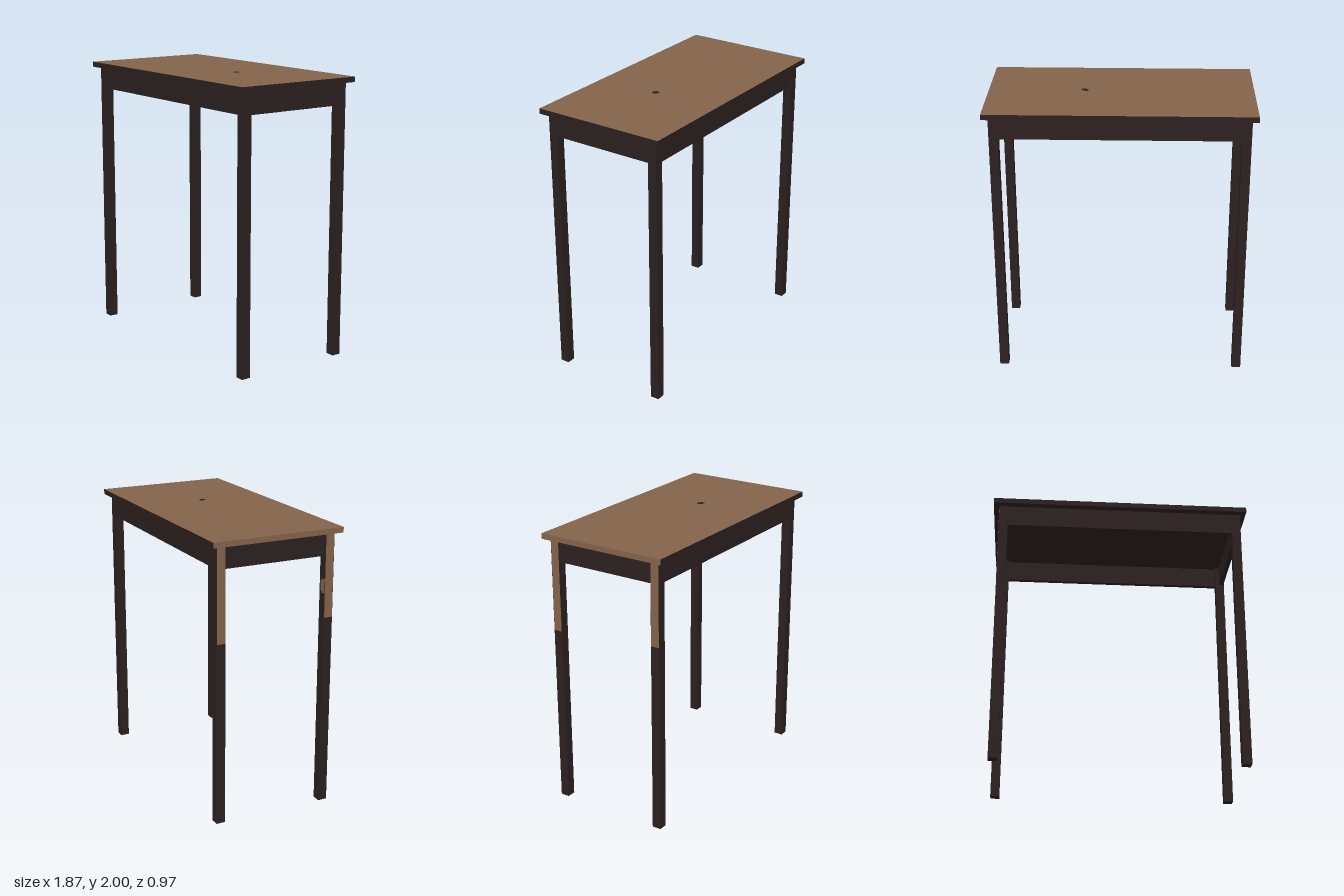
import * as THREE from 'three';

const darkWood = new THREE.MeshStandardMaterial({ name: 'dark wood', color: 0x2b2120 });
const brownWood = new THREE.MeshStandardMaterial({ name: 'brown wood', color: 0x84644b });

function box(parent, name, size, position, material) {
  const mesh = new THREE.Mesh(new THREE.BoxGeometry(...size), material);
  mesh.name = name;
  mesh.position.set(...position);
  parent.add(mesh);
  return mesh;
}

// Thin flat plate cut from a list of outline points, facing +z
function plate(parent, name, points, material) {
  const shape = new THREE.Shape(points.map(([x, y]) => new THREE.Vector2(x, y)));
  const mesh = new THREE.Mesh(
    new THREE.ExtrudeGeometry(shape, { depth: 0.002, bevelEnabled: false }), material);
  mesh.name = name;
  parent.add(mesh);
  return mesh;
}

export function createModel() {
  const table = new THREE.Group();
  table.name = 'table';

  // Tabletop: brown upper face and one brown end, dark elsewhere
  // (material order: +x, -x, +y, -y, +z, -z)
  box(table, 'tabletop', [1.866, 0.038, 0.966], [0, 1.981, 0],
    [darkWood, brownWood, brownWood, darkWood, darkWood, darkWood]);

  // Dark knot in the tabletop
  const knot = plate(table, 'knot',
    [[-0.026, 0.012], [-0.012, 0.024], [0.012, 0.018], [0.026, 0.006],
      [0.024, -0.016], [0.008, -0.026], [-0.016, -0.016]].reverse(), darkWood);
  knot.rotation.x = -Math.PI / 2;
  knot.position.set(0.255, 1.999, 0.017);

  // Square legs
  const legX = 0.859, legZ = 0.407, legWidth = 0.065, legHeight = 1.962;
  for (const sx of [-1, 1]) {
    for (const sz of [-1, 1]) {
      box(table, 'leg', [legWidth, legHeight, legWidth],
        [sx * legX, legHeight / 2, sz * legZ], darkWood);
    }
  }

  // Apron boards between the legs
  for (const s of [-1, 1]) {
    box(table, 'longApron', [1.66, 0.157, 0.032], [0, 1.8835, s * 0.418], darkWood);
    box(table, 'shortApron', [0.032, 0.157, 0.75], [s * 0.87, 1.8835, 0], darkWood);
  }

  // Worn brown strips on the outer faces of two legs
  for (const [z, bottom] of [[-legZ, 1.3], [legZ, 1.37]]) {
    const height = legHeight - bottom;
    box(table, 'wornStrip', [0.002, height, legWidth - 0.004],
      [-legX - legWidth / 2, bottom + height / 2, z], brownWood);
  }

  // Small worn patch on the rear face of one leg
  const patch = plate(table, 'wornPatch',
    [[0.031, -0.05], [0.031, 0.05], [0, 0.05], [-0.022, 0.028], [-0.022, -0.028], [0, -0.05]],
    brownWood);
  patch.rotation.y = Math.PI;
  patch.position.set(-legX, 1.59, legZ - legWidth / 2 + 0.001);

  return table;
}
